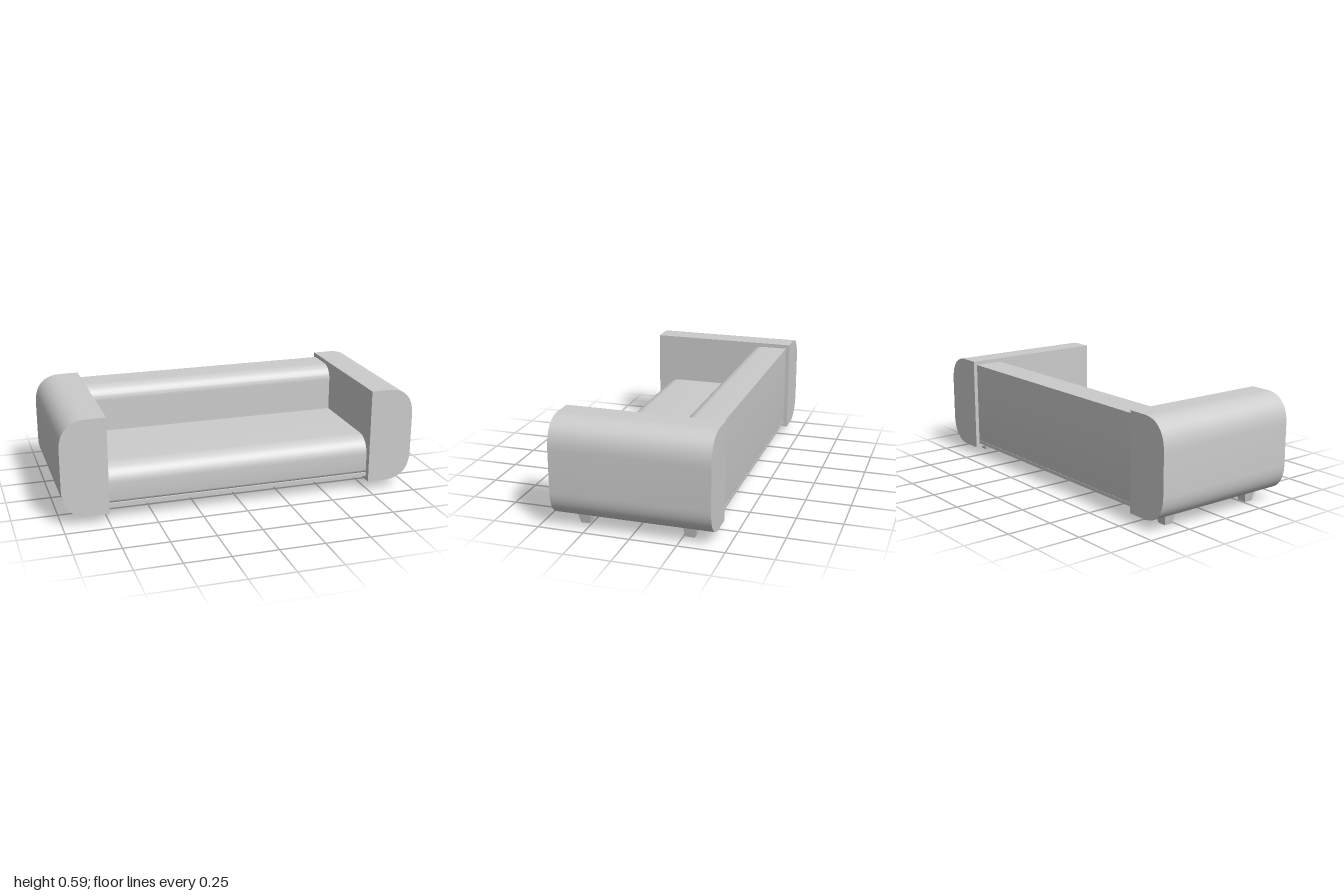
import * as THREE from 'three';
import { toCreasedNormals } from 'three/addons/utils/BufferGeometryUtils.js';

const material = new THREE.MeshStandardMaterial({ color: 0xcccccc });

// Extrudes a profile by a length, centred on its own axis, with smooth rounds.
function extrudeCentred(shape, length) {
  const geometry = new THREE.ExtrudeGeometry(shape, { depth: length, bevelEnabled: false, curveSegments: 14 });
  geometry.translate(0, 0, -length / 2);
  return toCreasedNormals(geometry, 0.5);
}

// Side profile (z across, y up) with a separate radius for each corner.
function roundedProfile(z0, z1, y0, y1, { backBottom = 0, frontBottom = 0, frontTop = 0 }) {
  const s = new THREE.Shape();
  s.moveTo(z0 + backBottom, y0);
  s.lineTo(z1 - frontBottom, y0);
  if (frontBottom) s.absarc(z1 - frontBottom, y0 + frontBottom, frontBottom, -Math.PI / 2, 0);
  s.lineTo(z1, y1 - frontTop);
  if (frontTop) s.absarc(z1 - frontTop, y1 - frontTop, frontTop, 0, Math.PI / 2);
  s.lineTo(z0, y1);
  s.lineTo(z0, y0 + backBottom);
  if (backBottom) s.absarc(z0 + backBottom, y0 + backBottom, backBottom, Math.PI, Math.PI * 1.5);
  return s;
}

export function createModel() {
  const group = new THREE.Group();
  const add = (name, geometry, x = 0, y = 0, z = 0) => {
    const mesh = new THREE.Mesh(geometry, material);
    mesh.name = name;
    mesh.position.set(x, y, z);
    group.add(mesh);
    return mesh;
  };

  // Base panel, seat cushion and backrest run between the arms
  const span = 1.5;
  add('base', new THREE.BoxGeometry(span, 0.02, 0.8), 0, 0.085, -0.005);
  const seat = roundedProfile(-0.3, 0.392, 0.09, 0.303, { frontBottom: 0.025, frontTop: 0.1 });
  add('seat', extrudeCentred(seat, span).rotateY(-Math.PI / 2));
  const back = roundedProfile(-0.405, -0.175, 0.09, 0.567, { backBottom: 0.012, frontTop: 0.08 });
  add('backrest', extrudeCentred(back, span).rotateY(-Math.PI / 2));

  // Arms: flat inside, softly rounded outside
  const arm = new THREE.Shape();
  arm.moveTo(0.747, 0.052);
  arm.lineTo(0.86, 0.052);
  arm.bezierCurveTo(0.95, 0.055, 1, 0.11, 1, 0.21);
  arm.lineTo(1, 0.43);
  arm.bezierCurveTo(1, 0.53, 0.95, 0.587, 0.86, 0.59);
  arm.lineTo(0.747, 0.59);
  const armGeometry = extrudeCentred(arm, 0.854);
  add('leftArm', armGeometry);
  add('rightArm', armGeometry).rotation.y = Math.PI;

  // Square tapered feet
  const foot = new THREE.CylinderGeometry(0.037 * Math.SQRT2, 0.025 * Math.SQRT2, 0.06, 4)
    .rotateY(Math.PI / 4).toNonIndexed();
  foot.computeVertexNormals();
  for (const x of [-0.857, 0.857]) {
    for (const z of [-0.285, 0.285]) add('foot', foot, x, 0.03, z);
  }
  return group;
}
